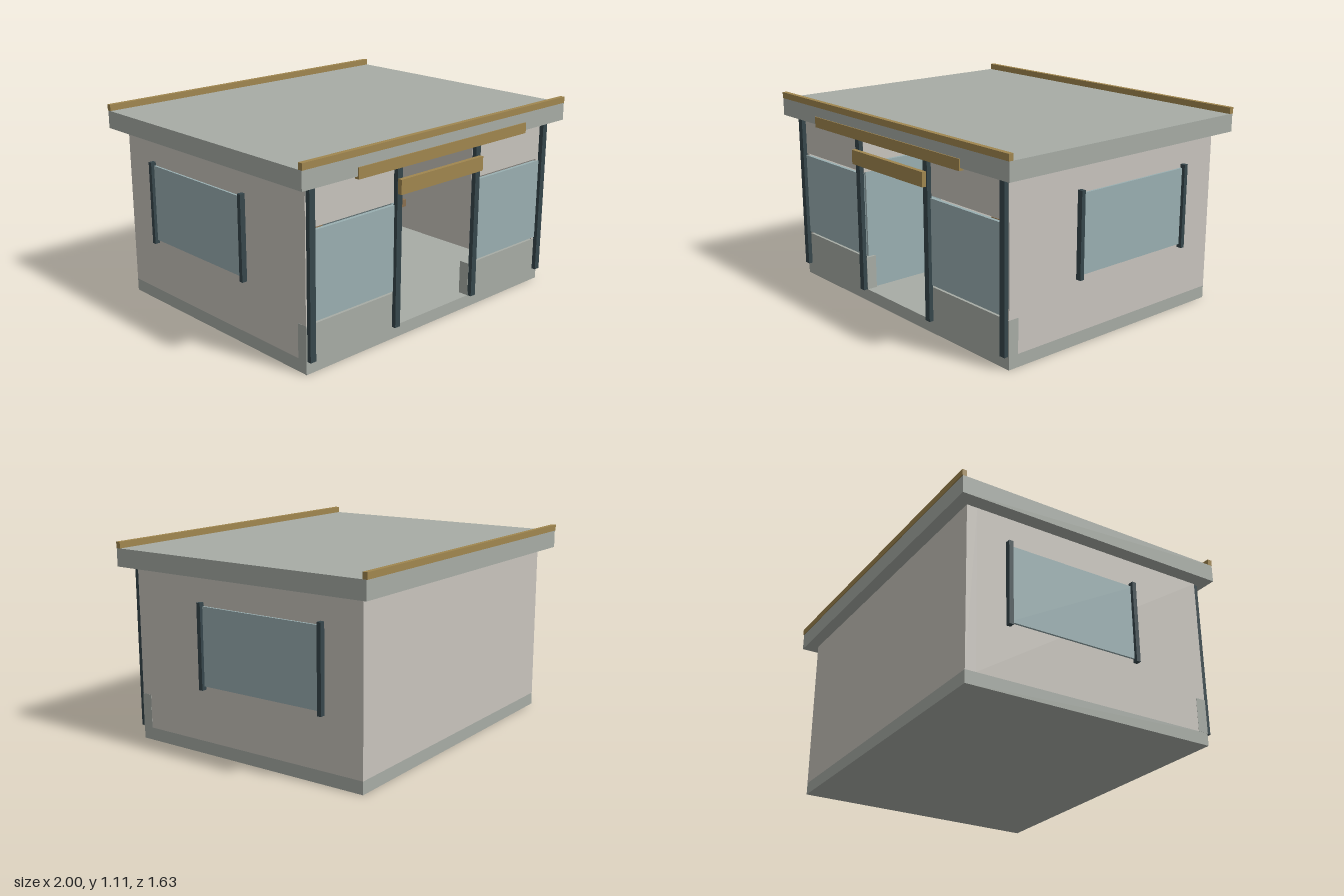
import * as THREE from 'three';

const mat = (color) => new THREE.MeshStandardMaterial({ color });

export function createModel() {
  const model = new THREE.Group();
  const concrete = mat(0xa7aca5), plaster = mat(0xc8c4bd), glass = mat(0x9aafb1);
  const steel = mat(0x36464b), timber = mat(0xa0864f), wood = mat(0x8a7050);

  // Box given by its extents along each axis
  function box(name, material, [x0, x1], [y0, y1], [z0, z1], parent = model) {
    const mesh = new THREE.Mesh(new THREE.BoxGeometry(x1 - x0, y1 - y0, z1 - z0), material);
    mesh.position.set((x0 + x1) / 2, (y0 + y1) / 2, (z0 + z1) / 2);
    mesh.name = name;
    parent.add(mesh);
    return mesh;
  }
  // Extents mirrored to either side
  const side = (s, a, b) => (s > 0 ? [a, b] : [-b, -a]);

  // Floor, back wall and roof
  box('floorSlab', concrete, [-0.92, 0.92], [0, 0.07], [-0.74, 0.74]);
  box('backWall', plaster, [-0.92, 0.92], [0.07, 0.975], [-0.74, -0.68]);
  box('roof', concrete, [-1, 1], [0.975, 1.075], [-0.81, 0.81]);
  box('frontRoofTrim', timber, [-1, 1], [1.075, 1.11], [0.785, 0.812]);
  box('backRoofTrim', timber, [-1, 1], [1.075, 1.11], [-0.815, -0.788]);

  for (const s of [1, -1]) {
    const tag = s > 0 ? 'left' : 'right';
    // Side wall with its window
    box(tag + 'SideWall', plaster, side(s, 0.86, 0.92), [0.07, 0.975], [-0.68, 0.738]);
    box(tag + 'SideWindow', glass, side(s, 0.91, 0.932), [0.38, 0.81], [-0.5, 0.28]);
    for (const z of [-0.5, 0.277])
      box(tag + 'SideWindowPost', steel, side(s, 0.92, 0.95), [0.36, 0.83], [z - 0.012, z + 0.012]);

    // Shop front: low wall, glass, wall above, posts
    box(tag + 'FrontLowWall', concrete, side(s, 0.285, 0.921), [0.07, 0.26], [0.68, 0.741]);
    box(tag + 'FrontUpperWall', plaster, side(s, 0.285, 0.919), [0.755, 0.975], [0.68, 0.74]);
    box(tag + 'FrontWindow', glass, side(s, 0.305, 0.88), [0.272, 0.742], [0.725, 0.745]);
    for (const x of [0.305, 0.897])
      box(tag + 'FrontPost', steel, side(s, x - 0.018, x + 0.018), [0.07, 0.973], [0.74, 0.765]);
  }

  // Entrance: open door, lintel and sign board
  box('openDoor', glass, [-0.318, -0.298], [0.07, 0.8], [0.2, 0.72]);
  box('doorLintel', timber, [-0.32, 0.315], [0.805, 0.885], [0.765, 0.79]);
  box('signBoard', timber, [-0.645, 0.645], [0.96, 1.02], [0.79, 0.816]);

  // Desk with screen
  const desk = new THREE.Group();
  desk.name = 'desk';
  model.add(desk);
  box('deskTop', wood, [-0.15, 0.63], [0.325, 0.37], [-0.4, -0.06], desk);
  for (const x of [-0.072, 0.55])
    for (const z of [-0.36, -0.1])
      box('deskLeg', steel, [x - 0.018, x + 0.018], [0.07, 0.325], [z - 0.018, z + 0.018], desk);
  box('screen', steel, [0.12, 0.36], [0.38, 0.555], [-0.24, -0.215], desk);
  box('screenStand', steel, [0.2, 0.28], [0.37, 0.39], [-0.26, -0.2], desk);

  // Chair behind the desk
  const chair = new THREE.Group();
  chair.name = 'chair';
  model.add(chair);
  box('chairSeat', wood, [0.13, 0.345], [0.21, 0.25], [-0.62, -0.44], chair);
  box('chairBack', wood, [0.13, 0.345], [0.25, 0.385], [-0.645, -0.615], chair);
  box('chairPedestal', steel, [0.21, 0.27], [0.07, 0.21], [-0.56, -0.5], chair);

  return model;
}
